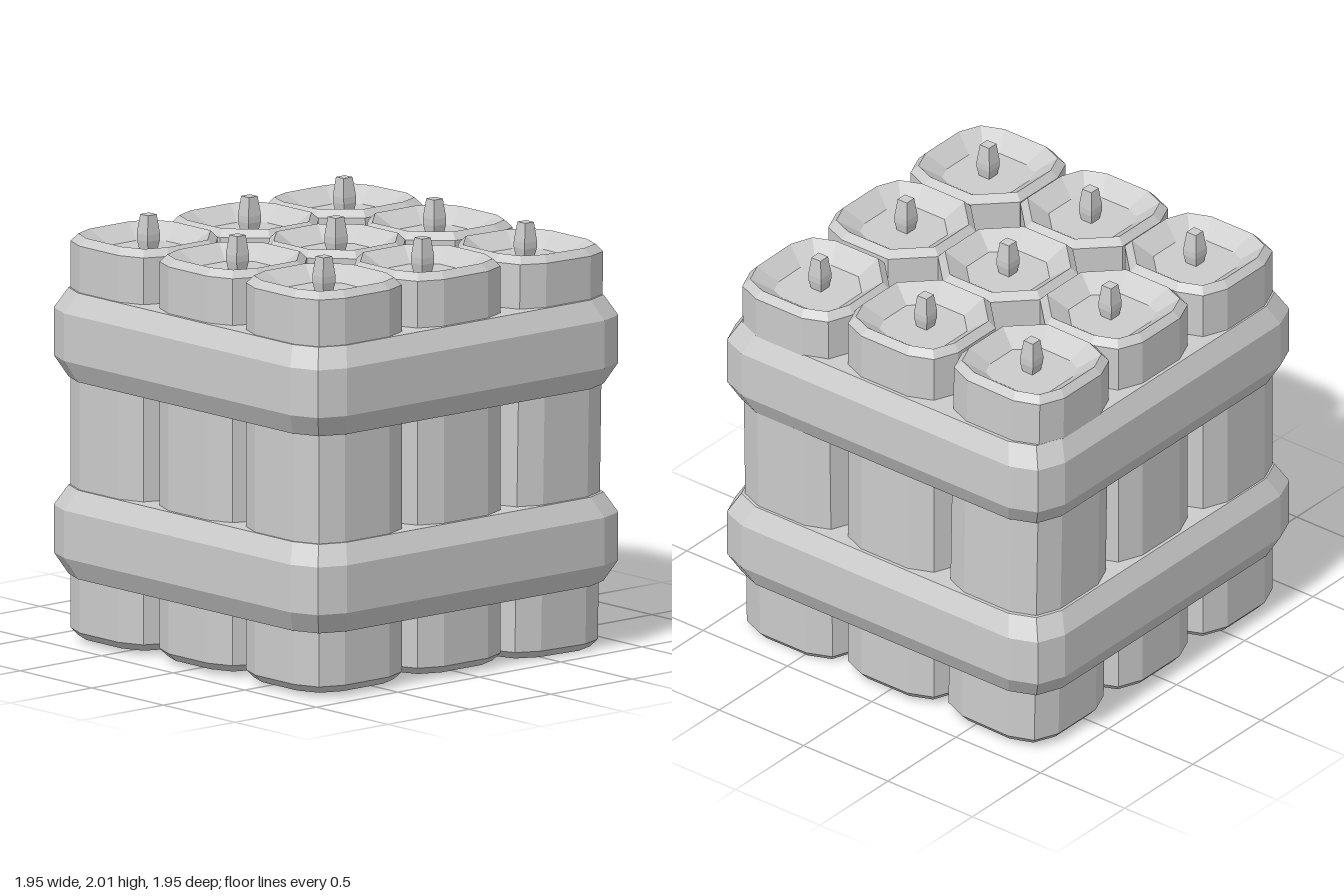
import * as THREE from 'three';

const material = new THREE.MeshStandardMaterial({ color: 0xcccccc, flatShading: true });

// Skins a closed outline (unit half-width) through [scale, y] rings, bottom to top.
function loft(outline, rings) {
  const positions = [], n = outline.length;
  const at = ([s, y], i) => [outline[i % n][0] * s, y, outline[i % n][1] * s];
  for (let r = 0; r + 1 < rings.length; r++) {
    const lo = rings[r], hi = rings[r + 1];
    for (let i = 0; i < n; i++) {
      const a = at(lo, i), b = at(lo, i + 1), c = at(hi, i + 1), d = at(hi, i);
      if (hi[0] > 0) positions.push(...a, ...d, ...c);
      if (lo[0] > 0) positions.push(...a, ...c, ...b);
    }
  }
  const geometry = new THREE.BufferGeometry();
  geometry.setAttribute('position', new THREE.Float32BufferAttribute(positions, 3));
  geometry.computeVertexNormals();
  return geometry;
}

// Square outline whose four corners are each cut by a list of points,
// given for the +x +z corner; cornerPoints(sx, sz) picks the cut per corner.
function squareOutline(cornerPoints) {
  const corners = [[1, 1], [-1, 1], [-1, -1], [1, -1]];
  return corners.flatMap(([sx, sz]) => {
    const points = cornerPoints(sx, sz).map(([x, z]) => [x * sx, z * sz]);
    return sx * sz > 0 ? points : points.reverse();
  });
}

const ROUND = [[1, 0.45], [0.84, 0.84], [0.45, 1]];
const CUT = [[1, 0.46], [0.46, 1]];
const BAND = [[1, 0.81], [0.945, 0.945], [0.81, 1]];

function addMesh(parent, name, geometry) {
  const mesh = new THREE.Mesh(geometry, material);
  mesh.name = name;
  parent.add(mesh);
  return mesh;
}

// One stick with dished ends and a short fuse; corners facing other sticks are cut straight.
function createStick(col, row) {
  const stick = new THREE.Group();
  stick.name = 'stick';
  const inside = (v) => Math.abs(v) <= 1;
  const outline = squareOutline((sx, sz) => (inside(col + sx) && inside(row + sz) ? CUT : ROUND));
  addMesh(stick, 'stickBody', loft(outline, [
    [0, 0.08], [0.18, 0.08], [0.272, 0.01], [0.303, 0.045],
    [0.303, 1.87], [0.272, 1.905], [0.18, 1.835], [0, 1.835],
  ]));
  const square = [[1, 1], [-1, 1], [-1, -1], [1, -1]];
  addMesh(stick, 'fuse', loft(square, [
    [0, 1.82], [0.027, 1.82], [0.038, 1.88], [0.038, 1.91], [0.027, 2], [0, 2],
  ]));
  return stick;
}

export function createModel() {
  const model = new THREE.Group();
  model.name = 'stickBundle';

  // Three by three sticks, the corner ones slightly shifted or leaning
  for (let col = -1; col <= 1; col++) {
    for (let row = -1; row <= 1; row++) {
      const stick = createStick(col, row);
      stick.position.set(col * 0.605, 0, row * 0.605);
      if (col === 1 && row === 1) {
        stick.rotation.z = -0.018;
        stick.position.set(0.595, -0.005, 0.607);
        stick.position.y = -0.015;
      } else if (col === 1 && row === -1) {
        stick.rotation.x = -0.018;
        stick.position.z = -0.595;
      } else if (col === -1 && row !== 0) {
        stick.position.x -= 0.008;
        stick.position.z += row * 0.008;
      }
      model.add(stick);
    }
  }

  // Two bevelled bands around the bundle
  const bandOutline = squareOutline(() => BAND);
  for (const [name, y] of [['lowerBand', 0.3], ['upperBand', 1.23]]) {
    const band = addMesh(model, name, loft(bandOutline, [
      [0, 0], [0.925, 0], [0.976, 0.1], [0.976, 0.325], [0.925, 0.42], [0, 0.42],
    ]));
    band.position.y = y;
  }
  return model;
}
